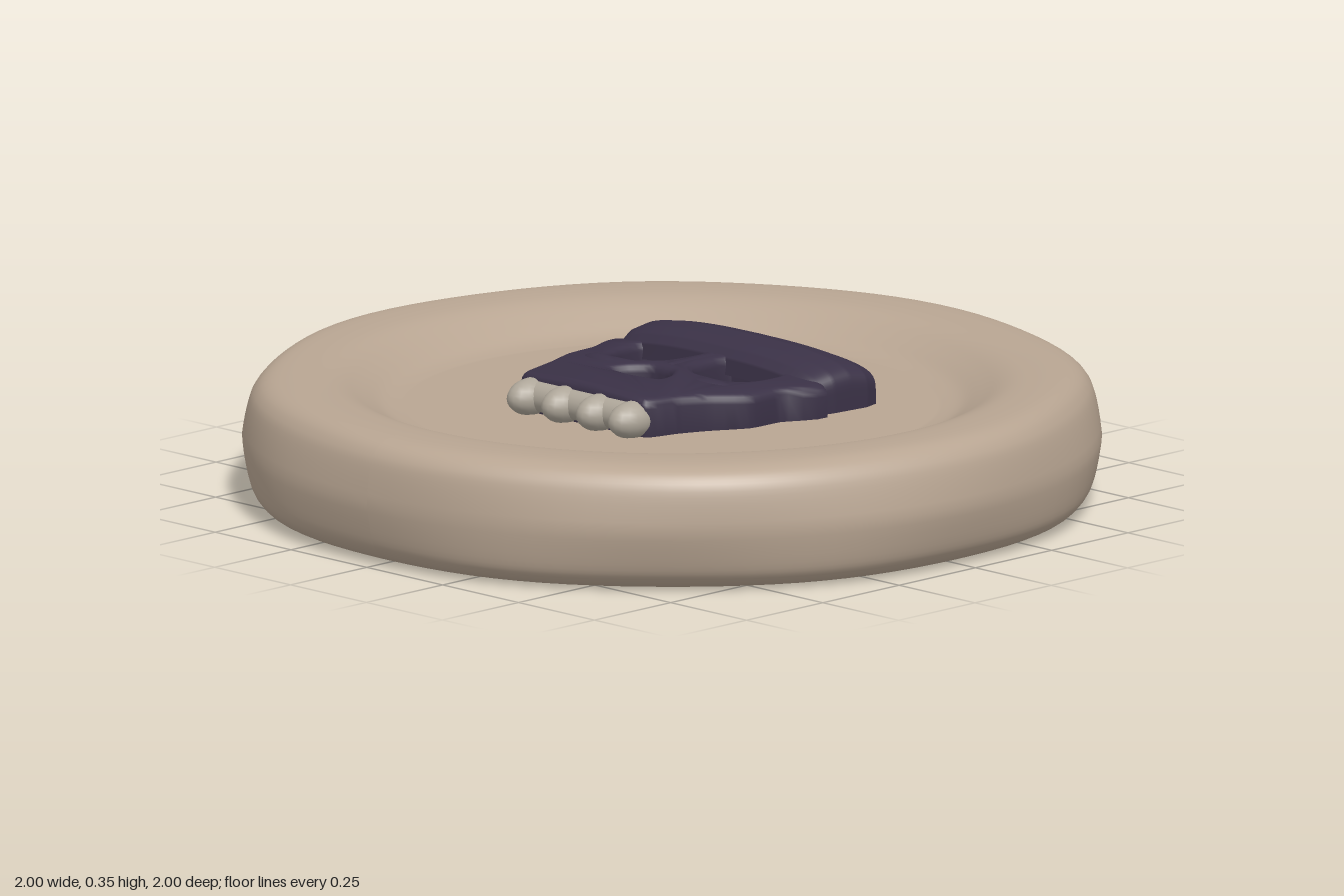
import * as THREE from 'three';
import { toCreasedNormals } from 'three/addons/utils/BufferGeometryUtils.js';
import { ParametricGeometry } from 'three/addons/geometries/ParametricGeometry.js';

const FLOOR = 0.225;
const clay = new THREE.MeshStandardMaterial({ color: 0xb8a592 });
const dark = new THREE.MeshStandardMaterial({ color: 0x3a3146 });
const bone = new THREE.MeshStandardMaterial({ color: 0xaea699 });

function add(group, name, geometry, material) {
  const mesh = new THREE.Mesh(geometry, material);
  mesh.name = name;
  group.add(mesh);
  return mesh;
}

// Smooth closed curve through [x, z] points, for outlines seen from above
function outline(points, Type, tension = 0.3) {
  const curve = new THREE.CatmullRomCurve3(
    points.map(([x, z]) => new THREE.Vector3(x, -z, 0)), true, 'catmullrom', tension);
  return new Type(curve.getPoints(points.length * 5).slice(0, -1).map(p => new THREE.Vector2(p.x, p.y)));
}

// Disc with rounded rims and a shallow dish on both faces
function discGeometry() {
  const half = [[0.62, 0.225], [0.67, 0.235], [0.72, 0.262], [0.77, 0.288], [0.82, 0.3], [0.9, 0.302],
    [0.95, 0.294], [0.98, 0.272], [0.994, 0.235], [1, 0.155]];
  const lower = half.slice(0, -1).reverse().map(([r, y]) => [r, 0.305 - y]);
  const loop = [...half, ...lower].reverse().map(([r, y]) => new THREE.Vector2(r, y));
  const rim = new THREE.SplineCurve(loop).getPoints(72);
  const g = new THREE.LatheGeometry(
    [new THREE.Vector2(0, 0.08), ...rim, new THREE.Vector2(0, FLOOR)], 96);
  // Slightly worn corners
  const p = g.attributes.position;
  for (let i = 0; i < p.count; i++) {
    const x = p.getX(i), y = p.getY(i), z = p.getZ(i), r = Math.hypot(x, z), a = Math.atan2(z, x);
    const corner = THREE.MathUtils.smoothstep(r, 0.86, 0.97) * Math.min(1, Math.abs(y - 0.15) / 0.12);
    const wear = 1 - 0.012 * corner * (1 + Math.sin(5 * a + 1) * Math.sin(3 * a + (y > 0.15 ? 0 : 2)));
    p.setXYZ(i, x * wear, y, z * wear);
  }
  g.computeVertexNormals();
  return g;
}

// Lower face plate with eye and nose openings
function faceGeometry() {
  const shape = outline([[-0.34, -0.18], [-0.325, -0.05], [-0.315, 0.04], [-0.275, 0.13], [-0.25, 0.2],
    [-0.215, 0.28], [-0.1, 0.285], [0.1, 0.285], [0.195, 0.28], [0.22, 0.2], [0.25, 0.13], [0.3, 0.04],
    [0.305, -0.05], [0.325, -0.18]], THREE.Shape);
  shape.holes.push(
    outline([[-0.225, -0.15], [-0.235, -0.07], [-0.2, 0], [-0.1, 0.015], [-0.05, -0.03], [-0.045, -0.15]], THREE.Path),
    outline([[0.045, -0.15], [0.045, -0.03], [0.1, 0.01], [0.18, 0], [0.215, -0.05], [0.21, -0.15]], THREE.Path),
    outline([[-0.03, 0.035], [-0.07, 0.07], [-0.085, 0.115], [0, 0.13], [0.07, 0.115], [0.06, 0.07], [0.03, 0.035]], THREE.Path));
  const g = new THREE.ExtrudeGeometry(shape, {
    depth: 0.075, bevelThickness: 0.022, bevelSize: 0.02, bevelOffset: -0.02, bevelSegments: 4 });
  g.rotateX(-Math.PI / 2);
  g.translate(0, FLOOR, 0);
  const p = g.attributes.position;
  for (let i = 0; i < p.count; i++) p.setY(i, p.getY(i) - 0.2 * p.getX(i) ** 2);
  return toCreasedNormals(g, 0.9);
}

// Domed forehead, lofted through sections: z, left x, right x, top height
function foreheadGeometry() {
  const sections = [[-0.135, -0.31, 0.29, 0.28], [-0.14, -0.325, 0.305, 0.315], [-0.16, -0.335, 0.32, 0.335],
    [-0.2, -0.355, 0.33, 0.346], [-0.25, -0.36, 0.335, 0.352], [-0.3, -0.36, 0.34, 0.342],
    [-0.34, -0.315, 0.33, 0.325], [-0.38, -0.265, 0.27, 0.308], [-0.42, -0.22, 0.2, 0.29],
    [-0.45, -0.185, 0.15, 0.268], [-0.465, -0.14, 0.1, 0.215]];
  return new ParametricGeometry((u, v, target) => {
    const f = v * (sections.length - 1), i = Math.min(Math.floor(f), sections.length - 2);
    const [z, xl, xr, h] = sections[i].map((s, k) => THREE.MathUtils.lerp(s, sections[i + 1][k], f - i));
    const a = Math.PI * u, c = Math.cos(a), s = Math.max(0, Math.sin(a));
    const x = -Math.sign(c) * Math.abs(c) ** 0.5;
    const y = 0.21 + (h - 0.21) * s ** 0.3 - 0.012 * x * x * s;
    target.set((xl + xr) / 2 + x * (xr - xl) / 2, y, z);
  }, 48, 40);
}

export function createModel() {
  const model = new THREE.Group();
  add(model, 'disc', discGeometry(), clay);

  const skull = new THREE.Group();
  skull.name = 'skull';
  model.add(skull);
  add(skull, 'face', faceGeometry(), dark);
  add(skull, 'forehead', foreheadGeometry(), dark);

  // Dark backing of the nose opening
  add(skull, 'noseBacking', new THREE.BoxGeometry(0.18, 0.06, 0.12), dark).position.set(-0.005, 0.25, 0.08);

  // Nose bridge between the eyes
  const bridge = add(skull, 'noseBridge', new THREE.CapsuleGeometry(0.036, 0.13, 6, 16), dark);
  bridge.rotation.x = Math.PI / 2;
  bridge.position.set(-0.005, 0.288, -0.07);

  // Cheekbones below the eyes
  for (const side of [-1, 1]) {
    const cheek = add(skull, side < 0 ? 'rightCheek' : 'leftCheek', new THREE.SphereGeometry(1, 20, 12), dark);
    cheek.scale.set(0.09, 0.028, 0.035);
    cheek.rotation.y = side * 0.25;
    cheek.position.set(side * 0.17 - 0.01, 0.292, 0.045);
  }

  // Upper teeth: a gum strip and four rounded points
  const gum = add(skull, 'toothRow', new THREE.CapsuleGeometry(0.036, 0.33, 6, 16), bone);
  gum.rotation.z = Math.PI / 2;
  gum.position.set(-0.01, 0.266, 0.282);
  for (const x of [-0.175, -0.062, 0.052, 0.158]) {
    const tooth = add(skull, 'tooth', new THREE.SphereGeometry(1, 18, 12), bone);
    tooth.scale.set(0.045, 0.044, 0.07);
    tooth.position.set(x, 0.263, 0.285);
  }
  return model;
}
